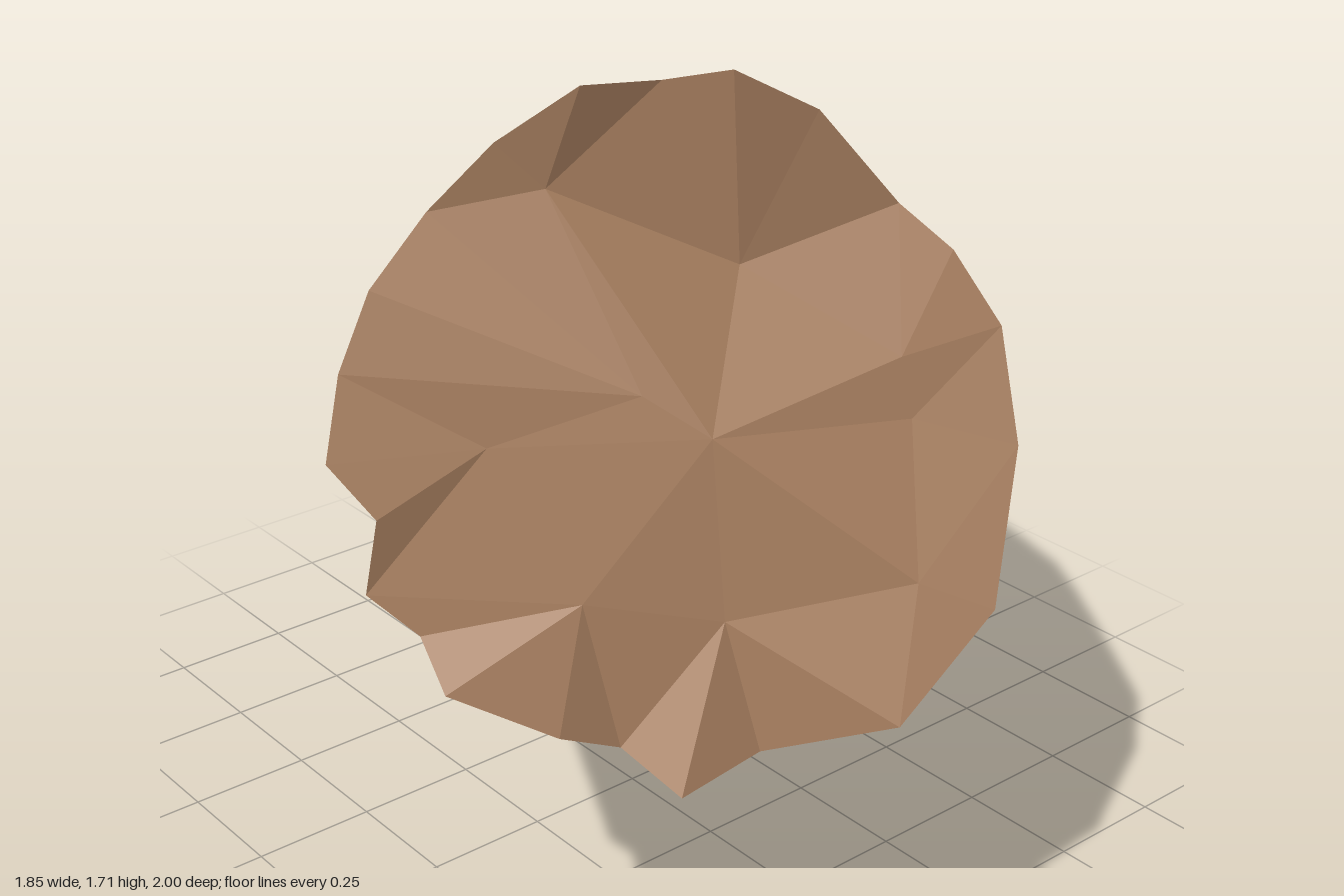
import * as THREE from 'three';

const V = (x, y, z) => new THREE.Vector3(x, y, z);

// corners of the two sawn ends, and of the raised and sunken facets inside them
const FRONT = [
  [-0.27, 1.71, 0.58], [-0.35, 1.69, 0.5], [-0.49, 1.7, 0.47], [-0.6, 1.61, 0.39], [-0.69, 1.5, 0.33],
  [-0.81, 1.4, 0.34], [-0.88, 1.28, 0.35], [-0.93, 1.15, 0.38], [-0.88, 1.06, 0.44], [-0.9, 0.93, 0.43],
  [-0.84, 0.86, 0.49], [-0.85, 0.79, 0.57], [-0.7, 0.7, 0.67], [-0.59, 0.65, 0.69], [-0.56, 0.6, 0.81],
  [-0.4, 0.63, 0.82], [-0.24, 0.69, 0.98], [-0.05, 0.85, 1.0], [0.06, 1.09, 0.93], [0.09, 1.27, 0.85],
  [0.05, 1.39, 0.77], [0.0, 1.46, 0.69], [-0.13, 1.63, 0.63],
];
const FRONT_INNER = [
  [-0.25, 1.38, 0.58], [-0.53, 1.53, 0.43], [-0.48, 1.22, 0.61], [-0.7, 1.15, 0.49], [-0.62, 0.9, 0.63],
  [-0.42, 0.85, 0.75], [-0.15, 0.9, 0.92], [-0.08, 1.14, 0.82], [-0.08, 1.24, 0.79],
];
const BACK = [
  [0.62, 1.19, -0.51], [0.59, 1.17, -0.6], [0.43, 1.12, -0.78], [0.32, 1.04, -0.85], [0.21, 0.96, -0.92],
  [0.16, 0.89, -0.9], [0.12, 0.8, -0.96], [0.04, 0.66, -0.99], [0.07, 0.57, -0.94], [0.06, 0.4, -1.0],
  [0.13, 0.19, -0.89], [0.22, 0.1, -0.73], [0.29, 0.0, -0.67], [0.34, 0.05, -0.51], [0.45, 0.02, -0.45],
  [0.47, 0.1, -0.42], [0.58, 0.08, -0.37], [0.7, 0.16, -0.32], [0.78, 0.33, -0.21], [0.91, 0.52, -0.23],
  [0.92, 0.58, -0.21], [0.92, 0.8, -0.29], [0.87, 0.86, -0.36], [0.84, 0.97, -0.38], [0.73, 1.09, -0.46],
];
const BACK_INNER = [
  [0.38, 0.97, -0.9], [0.34, 0.56, -0.82], [0.43, 0.32, -0.73], [0.45, 0.2, -0.7], [0.54, 0.3, -0.5],
  [0.75, 0.58, -0.4], [0.7, 0.8, -0.48], [0.56, 0.84, -0.66],
];
const frontCentre = V(-0.4, 1.15, 0.69), backCentre = V(0.53, 0.61, -0.63);
const TURN = Math.PI * 2;

// frame around the log's axis: u is level, v points up
const axis = frontCentre.clone().sub(backCentre).normalize();
const u = V(0, 1, 0).cross(axis).normalize();
const v = axis.clone().cross(u);

// corners sorted by angle around the axis
function ring(points, centre) {
  return points.map((p) => {
    const pos = V(...p), d = pos.clone().sub(centre);
    return { pos, angle: Math.atan2(d.dot(v), d.dot(u)) };
  }).sort((a, b) => a.angle - b.angle);
}

// point of the ring's outline at an angle
function sample(r, angle) {
  const n = r.length;
  const i = Math.max(0, r.findIndex((c) => c.angle > angle));
  const a = r[(i + n - 1) % n], b = r[i];
  const span = (b.angle - a.angle + TURN) % TURN;
  const part = (angle - a.angle + TURN) % TURN;
  return a.pos.clone().lerp(b.pos, part / span);
}

// triangles zipped by angle between two rings, the first one further back
function zip(a, b) {
  const out = [];
  const at = (r, k) => r[k % r.length].pos;
  const ang = (r, k) => r[k % r.length].angle + (k >= r.length ? TURN : 0);
  let i = 0, j = 0;
  while (i < a.length || j < b.length) {
    const stepA = j >= b.length
      || (i < a.length && ang(a, i) + ang(a, i + 1) < ang(b, j) + ang(b, j + 1));
    if (stepA) out.push(at(a, i), at(a, ++i), at(b, j));
    else out.push(at(a, i), at(b, j + 1), at(b, j++));
  }
  return out;
}

// fan of triangles from the heart to a ring
function fan(r, centre, facing) {
  return r.flatMap((c, i) => {
    const next = r[(i + 1) % r.length].pos;
    return facing > 0 ? [centre, c.pos, next] : [centre, next, c.pos];
  });
}

function mesh(name, triangles, material) {
  const g = new THREE.BufferGeometry().setFromPoints(triangles);
  g.computeVertexNormals();
  const m = new THREE.Mesh(g, material);
  m.name = name;
  return m;
}

export function createModel() {
  let seed = 11;
  const rand = () => {
    seed = (seed * 16807) % 2147483647;
    return seed / 2147483647 - 0.5;
  };
  const wood = new THREE.MeshStandardMaterial({ color: 0xa57d5e, flatShading: true, side: THREE.DoubleSide });
  const log = new THREE.Group();
  log.name = 'log';

  const front = ring(FRONT, frontCentre), back = ring(BACK, backCentre);
  const frontInner = ring(FRONT_INNER, frontCentre), backInner = ring(BACK_INNER, backCentre);

  // bark: bowed on its flanks, slightly sunken on top, furrowed between the ends
  const COUNT = 24;
  const middle = [0.34, 0.66].map((t, row) => Array.from({ length: COUNT }, (_, i) => {
    const angle = -Math.PI + ((i + 0.3 + row * 0.4 + rand() * 0.4) / COUNT) * TURN;
    const s = t + rand() * 0.24, bow = Math.sin(Math.PI * s);
    const c = Math.cos(angle), h = Math.sin(angle);
    const furrow = rand() * 0.04;
    const pos = sample(back, angle).lerp(sample(front, angle), s)
      .addScaledVector(u, c * furrow + bow * Math.abs(c) * (c > 0 ? 0.085 : 0.045))
      .addScaledVector(v, h * furrow - bow * Math.max(0, h) * 0.02);
    return { pos, angle };
  }));
  const rows = [back, ...middle, front];
  log.add(mesh('bark', rows.slice(1).flatMap((r, k) => zip(rows[k], r)), wood));

  // sawn ends: broad uneven facets running to the heart
  log.add(mesh('frontEnd', [...zip(front, frontInner), ...fan(frontInner, frontCentre, 1)], wood));
  log.add(mesh('backEnd', [...zip(backInner, back), ...fan(backInner, backCentre, -1)], wood));
  return log;
}
